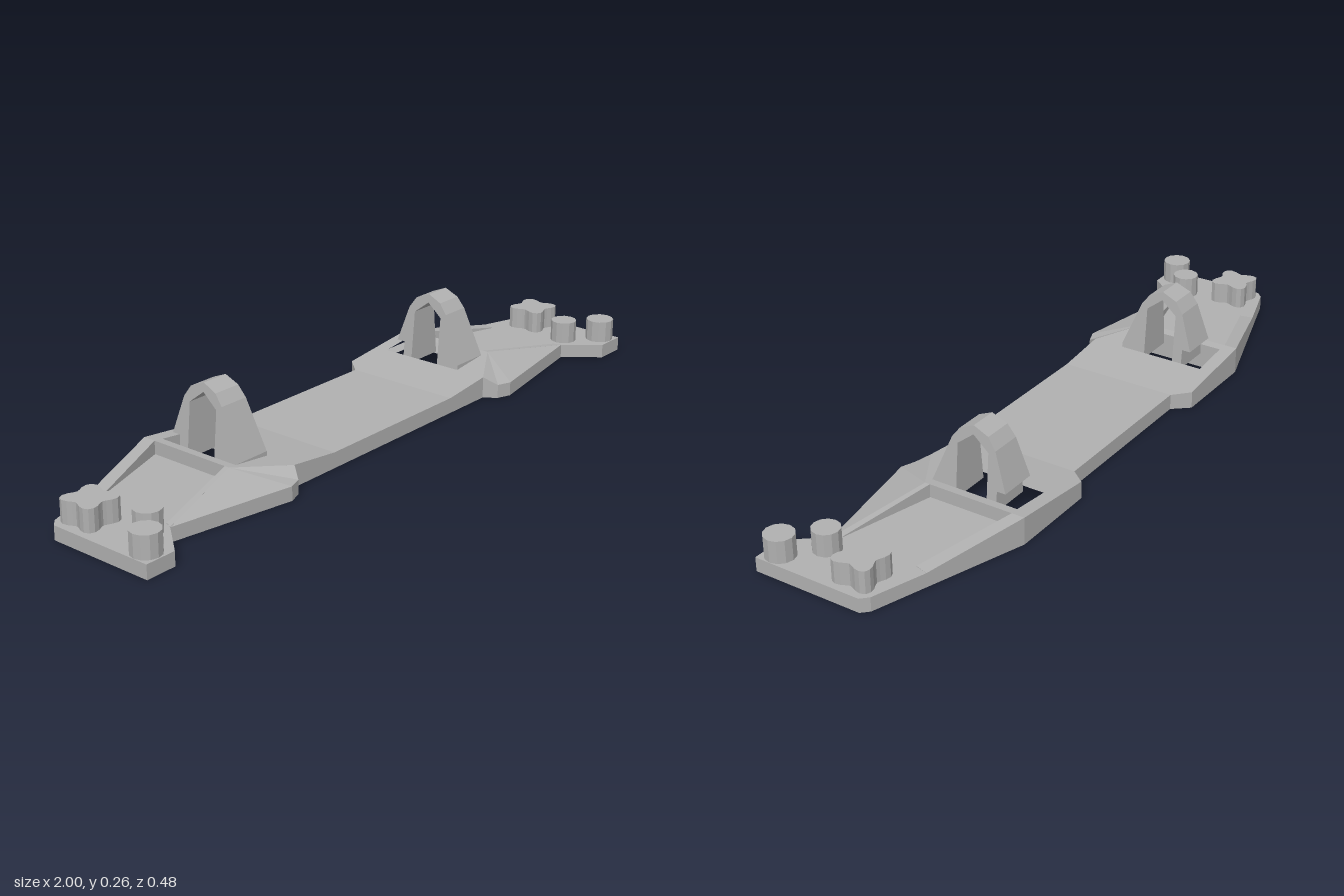
import * as THREE from 'three';

const grey = new THREE.MeshStandardMaterial({ color: 0xb0b0b0 });
grey.name = 'plain grey';

const BASE = 0.04;
const RIDGE = 0.078;

function add(group, name, geometry) {
  const mesh = new THREE.Mesh(geometry, grey);
  mesh.name = name;
  group.add(mesh);
  return mesh;
}

// Solid on a plan outline of [x, z] points, from y0 up to the height rule top(x, z)
function slab(points, y0, top, holes = []) {
  const flip = (list) => list.map(([x, z]) => new THREE.Vector2(x, -z));
  const shape = new THREE.Shape(flip(points));
  holes.forEach((h) => shape.holes.push(new THREE.Path(flip(h))));
  const geo = new THREE.ExtrudeGeometry(shape, { depth: 1, bevelEnabled: false });
  geo.rotateX(-Math.PI / 2);
  const p = geo.attributes.position;
  for (let i = 0; i < p.count; i++) {
    p.setY(i, p.getY(i) > 0.5 ? top(p.getX(i), p.getZ(i)) : y0);
  }
  geo.computeVertexNormals();
  return geo;
}

// Height rule of the plane through three [x, z, y] corners
function plane(a, b, c) {
  const [ux, uz, uy] = b.map((v, i) => v - a[i]);
  const [vx, vz, vy] = c.map((v, i) => v - a[i]);
  const d = ux * vz - uz * vx;
  const gx = (uy * vz - uz * vy) / d;
  const gz = (ux * vy - uy * vx) / d;
  return (x, z) => a[2] + gx * (x - a[0]) + gz * (z - a[1]);
}

const mirror = (points, s) => points.map(([x, ...rest]) => [x * s, ...rest]);

// Snap clip: side profile in [z, y], narrowing towards the top
function clipGeometry() {
  const profile = [
    [0.062, 0.045], [0.062, 0.075], [0.005, 0.213], [-0.018, 0.243], [-0.06, 0.262],
    [-0.105, 0.243], [-0.128, 0.21], [-0.163, 0.103], [-0.137, 0.103], [-0.137, 0.045],
    [-0.107, 0.045], [-0.107, 0.2], [-0.06, 0.237], [-0.013, 0.2], [-0.013, 0.045],
  ];
  const shape = new THREE.Shape(profile.map(([z, y]) => new THREE.Vector2(z, y)));
  const geo = new THREE.ExtrudeGeometry(shape, { depth: 1, bevelEnabled: false });
  geo.translate(0, 0, -0.5);
  geo.rotateY(-Math.PI / 2);
  const p = geo.attributes.position;
  for (let i = 0; i < p.count; i++) {
    const width = 0.115 - (p.getY(i) - 0.075) * 0.19;
    p.setX(i, p.getX(i) * width);
  }
  geo.computeVertexNormals();
  return geo;
}

// Four-lobed locating peg
function cloverPoints(cx, cz) {
  return Array.from({ length: 32 }, (_, i) => {
    const a = (i / 32) * Math.PI * 2;
    const r = 0.058 - 0.014 * Math.cos(4 * a);
    return [cx + r * Math.cos(a), cz + r * Math.sin(a)];
  });
}

export function createModel() {
  const model = new THREE.Group();
  model.name = 'mountingBracket';

  // Base plate with a pocket under each clip
  const half = [
    [0.25, -0.193], [0.29, -0.24], [0.55, -0.24], [0.98, -0.1], [1, -0.08], [1, 0.237],
    [0.91, 0.237], [0.83, 0.14], [0.47, 0.205], [0.43, 0.19], [0.405, 0.155],
  ];
  const pocket = [[0.36, -0.2], [0.525, -0.2], [0.525, 0.07], [0.36, 0.15]];
  const outline = [...half, ...mirror(half, -1).reverse()];
  add(model, 'basePlate', slab(outline, 0, () => BASE, [pocket, mirror(pocket, -1)]));

  // Flat centre deck
  add(model, 'centreDeck', slab(
    [[-0.25, -0.193], [0.25, -0.193], [0.25, 0.155], [-0.25, 0.155]], BASE, () => 0.045));

  const rise = (x) => 0.045 + (Math.abs(x) - 0.25) * 0.11;
  const fall = (x) => Math.max(BASE, RIDGE - (Math.abs(x) - 0.55) * 0.135);

  for (const s of [1, -1]) {
    const side = new THREE.Group();
    side.name = s > 0 ? 'leftEnd' : 'rightEnd';
    model.add(side);

    // Rising deck with the clip opening
    add(side, 'risingDeck', slab(mirror([
      [0.25, -0.193], [0.29, -0.24], [0.55, -0.24], [0.55, 0.065], [0.405, 0.155], [0.25, 0.155],
    ], s), BASE, rise, [mirror([[0.405, -0.2], [0.523, -0.2], [0.523, 0.055], [0.405, 0.055]], s)]));

    // Tapering rails beside the sunken floor
    add(side, 'backRail', slab(mirror(
      [[0.55, -0.24], [0.83, -0.149], [0.82, -0.112], [0.55, -0.202]], s), BASE, fall));
    add(side, 'frontRail', slab(mirror(
      [[0.55, 0.05], [0.82, 0.118], [0.83, 0.14], [0.55, 0.065]], s), BASE, fall));

    // Sloping front shoulder, fanned from the ridge corner
    const fan = mirror([
      [0.405, 0.155, 0.062], [0.43, 0.19, BASE], [0.47, 0.205, BASE], [0.83, 0.14, BASE],
    ], s);
    const peak = [0.55 * s, 0.065, RIDGE];
    for (let i = 0; i < 3; i++) {
      const tri = [peak, fan[i], fan[i + 1]];
      add(side, 'frontShoulder', slab(tri, BASE, plane(...tri)));
    }

    // Snap clip
    add(side, 'snapClip', clipGeometry()).position.x = 0.465 * s;

    // Locating pegs
    for (const [x, z, r] of [[0.877, 0.115, 0.038], [0.958, 0.193, 0.041]]) {
      const geo = new THREE.CylinderGeometry(r, r, 0.063, 12).toNonIndexed();
      geo.computeVertexNormals();
      add(side, 'roundPeg', geo).position.set(x * s, 0.0715, z);
    }
    add(side, 'cloverPeg', slab(mirror(cloverPoints(0.925, -0.032), s), BASE, () => 0.103));
  }

  return model;
}
